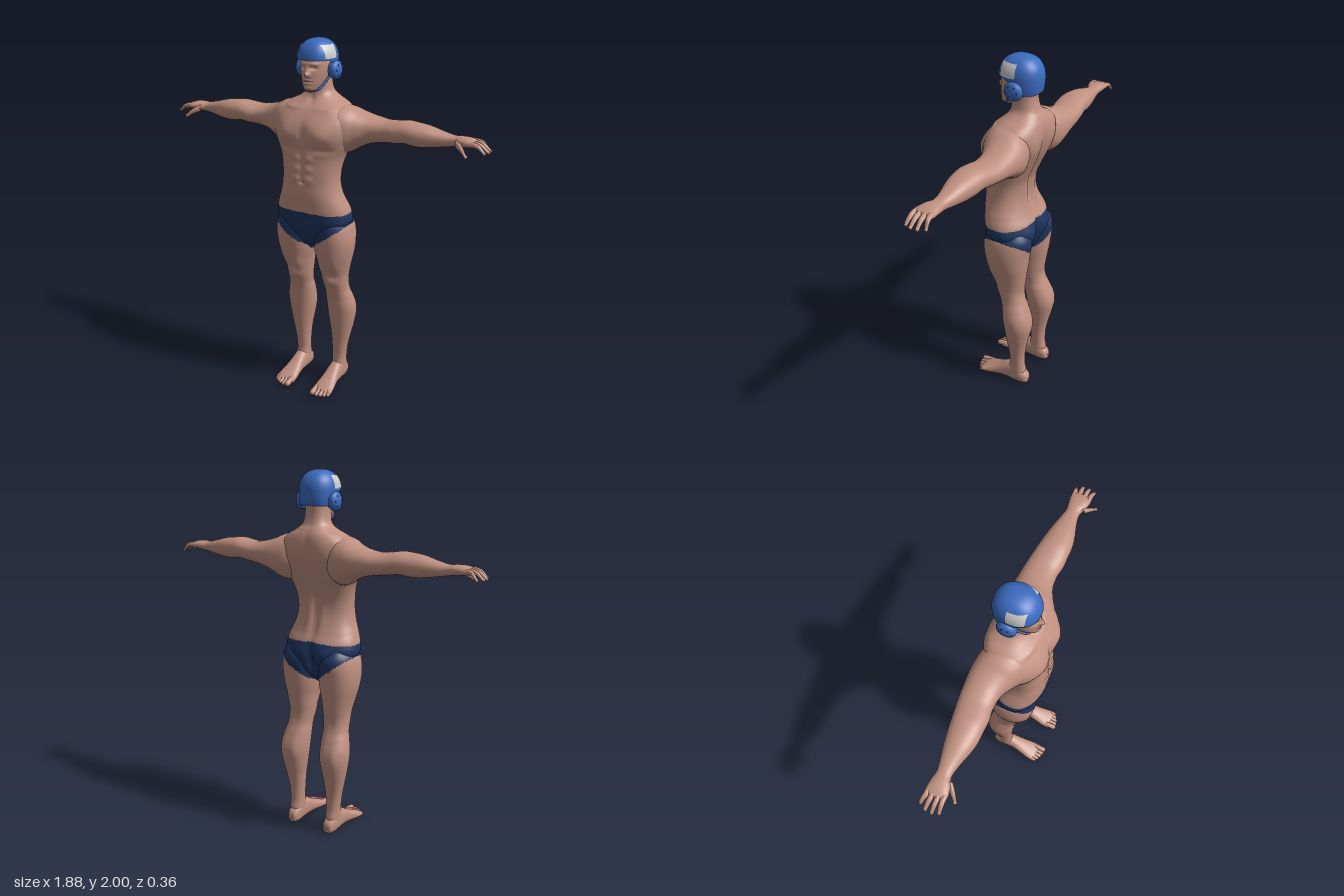
import * as THREE from 'three';

const mat = (name, color, side = THREE.FrontSide) => {
  const m = new THREE.MeshStandardMaterial({ color, side });
  m.name = name;
  return m;
};

// Catmull-Rom blend between the rows of a cross-section table
function sample(rows, t) {
  const f = t * (rows.length - 1), i = Math.min(Math.floor(f), rows.length - 2), u = f - i;
  const at = k => rows[Math.max(0, Math.min(rows.length - 1, k))];
  const [a, b, c, d] = [at(i - 1), at(i), at(i + 1), at(i + 2)];
  return b.map((_, k) => b[k] + 0.5 * u * (c[k] - a[k] + u * (2 * a[k] - 5 * b[k] + 4 * c[k] - d[k]
    + u * (3 * (b[k] - c[k]) + d[k] - a[k]))));
}

// Surface through rows [position, aMin, aMax, bMin, bMax]; axis 0, 1, 2 = x, y, z and a, b are the next two axes.
// bumps: [front +1 / back -1, |x|, y, spread x, spread y, height along z], for axis 1 only
function loft(axis, rows, { segs = 32, rings = 60, pow = 0.9, bumps = [], paint = null } = {}) {
  const pos = [], lists = [[], []];
  const sp = v => Math.sign(v) * Math.abs(v) ** pow;
  for (let i = 0; i <= rings; i++) {
    const [s, a0, a1, b0, b1] = sample(rows, i / rings);
    for (let j = 0; j < segs; j++) {
      const t = j / segs * Math.PI * 2, c = sp(Math.cos(t)), d = sp(Math.sin(t));
      const p = [0, 0, 0];
      p[axis] = s;
      p[(axis + 1) % 3] = (a0 + a1) / 2 + c * (a1 - a0) / 2;
      p[(axis + 2) % 3] = (b0 + b1) / 2 + d * (b1 - b0) / 2;
      let dz = 0;
      for (const [side, x, y, sx, sy, h] of bumps) {
        const w = Math.min(1, Math.max(0, side * c * 1.5));
        dz += side * h * w * Math.exp(-(((Math.abs(p[0]) - x) / sx) ** 2) - ((p[1] - y) / sy) ** 2);
      }
      p[2] += dz;
      pos.push(...p);
    }
  }
  const add = (...tri) => {
    const mid = k => (pos[tri[0] * 3 + k] + pos[tri[1] * 3 + k] + pos[tri[2] * 3 + k]) / 3;
    lists[paint && paint(mid(0), mid(1)) ? 1 : 0].push(...tri);
  };
  for (let i = 0; i < rings; i++) for (let j = 0; j < segs; j++) {
    const k = (j + 1) % segs, p = i * segs, q = p + segs;
    add(p + j, p + k, q + j);
    add(p + k, q + k, q + j);
  }
  const g = new THREE.BufferGeometry();
  g.setAttribute('position', new THREE.Float32BufferAttribute(pos, 3));
  g.setIndex([...lists[0], ...lists[1]]);
  if (paint) {
    g.addGroup(0, lists[0].length, 0);
    g.addGroup(lists[0].length, lists[1].length, 1);
  }
  g.computeVertexNormals();
  return g;
}

// Rounded finger or toe through points [x, y, z, radius]
const digit = (axis, pts) => {
  const end = pts[pts.length - 1].slice(), a = (axis + 1) % 3, b = (axis + 2) % 3;
  const round = [[0.6, 0.8], [0.9, 0.45], [1, 0.01]].map(([o, r]) => {
    const p = end.slice();
    p[axis] += o * end[3];
    p[3] *= r;
    return p;
  });
  return loft(axis, [...pts, ...round].map(p => [p[axis], p[a] - p[3], p[a] + p[3], p[b] - p[3], p[b] + p[3]]),
    { segs: 14, rings: 24, pow: 1 });
};

// Mirrored copy across x with corner order reversed
function mirror(g) {
  const m = g.clone().scale(-1, 1, 1), ix = m.index.array;
  for (let i = 0; i < ix.length; i += 3) [ix[i + 1], ix[i + 2]] = [ix[i + 2], ix[i + 1]];
  m.computeVertexNormals();
  return m;
}

export function createModel() {
  const root = new THREE.Group();
  root.name = 'figure';
  const skin = mat('skin', 0xbf9080), navy = mat('navy cloth', 0x1f3560);
  const blue = mat('helmet blue', 0x3a6bc0, THREE.DoubleSide);
  const pale = mat('pale patch', 0xcccccc, THREE.DoubleSide);
  const put = (name, g, m) => {
    const o = new THREE.Mesh(g, m);
    o.name = name;
    root.add(o);
  };
  const pair = (name, g, m) => { put('left' + name, g, m); put('right' + name, mirror(g), m); };
  const sym = rows => rows.map(([y, back, front, w]) => [y, back, front, -w, w]);
  const trunks = (x, y) => y < 1.105 - 0.06 * Math.abs(x) && y > 0.865 + 0.75 * Math.abs(x);

  // Torso and neck
  put('torso', loft(1, sym([
    [0.86, -0.05, 0.03, 0.02], [0.92, -0.115, 0.08, 0.09], [0.98, -0.135, 0.11, 0.17], [1.04, -0.143, 0.125, 0.215],
    [1.1, -0.135, 0.132, 0.211], [1.15, -0.113, 0.137, 0.193], [1.2, -0.095, 0.14, 0.174], [1.26, -0.085, 0.137, 0.163],
    [1.33, -0.092, 0.134, 0.165], [1.4, -0.118, 0.13, 0.18], [1.46, -0.143, 0.132, 0.208], [1.52, -0.162, 0.135, 0.228],
    [1.58, -0.172, 0.124, 0.23], [1.63, -0.173, 0.092, 0.215], [1.67, -0.166, 0.055, 0.165], [1.7, -0.152, 0.025, 0.108],
    [1.73, -0.134, 0.01, 0.074], [1.78, -0.122, 0.01, 0.064], [1.85, -0.12, 0.01, 0.062],
  ]), {
    segs: 96, rings: 170, pow: 0.85, paint: trunks, bumps: [
      [1, 0.1, 1.53, 0.065, 0.05, 0.018], [1, 0, 1.53, 0.014, 0.07, -0.01], [1, 0.1, 1.45, 0.07, 0.016, -0.007],
      ...[1.4, 1.345, 1.29].map(y => [1, 0.036, y, 0.024, 0.02, 0.008]), [1, 0, 1.32, 0.009, 0.12, -0.006],
      [1, 0, 1.27, 0.008, 0.008, -0.012], [1, 0.1, 1.655, 0.07, 0.011, 0.007], [1, 0, 1.69, 0.018, 0.02, -0.012],
      [1, 0.03, 1.0, 0.04, 0.06, 0.012],
      [-1, 0, 1.4, 0.02, 0.22, -0.018], [-1, 0.1, 1.57, 0.055, 0.07, 0.01], [-1, 0.04, 1.24, 0.028, 0.1, 0.009],
      [-1, 0.085, 1.03, 0.06, 0.06, 0.018], [-1, 0, 1.0, 0.016, 0.07, -0.03],
    ],
  }), [skin, navy]);

  // Legs
  pair('Leg', loft(1, [
    [1.08, -0.11, 0.08, 0.06, 0.18], [1.03, -0.142, 0.1, 0.03, 0.213], [0.98, -0.15, 0.108, 0.014, 0.226],
    [0.92, -0.147, 0.106, 0.008, 0.23], [0.85, -0.14, 0.092, 0.014, 0.222], [0.78, -0.13, 0.07, 0.028, 0.205],
    [0.72, -0.122, 0.045, 0.036, 0.192], [0.67, -0.118, 0.034, 0.042, 0.187], [0.61, -0.126, 0.012, 0.05, 0.188],
    [0.56, -0.145, -0.002, 0.048, 0.2], [0.5, -0.166, -0.01, 0.048, 0.213], [0.44, -0.174, -0.018, 0.052, 0.212],
    [0.37, -0.164, -0.026, 0.062, 0.201], [0.3, -0.148, -0.034, 0.073, 0.186], [0.22, -0.135, -0.042, 0.08, 0.17],
    [0.14, -0.134, -0.045, 0.083, 0.162], [0.09, -0.142, -0.03, 0.083, 0.162], [0.04, -0.14, -0.03, 0.085, 0.16],
  ].reverse(), {
    segs: 56, rings: 160, paint: trunks, bumps: [
      [1, 0.115, 0.685, 0.032, 0.032, 0.015], [1, 0.075, 0.75, 0.025, 0.045, 0.012], [1, 0.16, 0.8, 0.03, 0.07, 0.008],
      [-1, 0.095, 0.47, 0.028, 0.07, 0.006], [-1, 0.165, 0.48, 0.028, 0.07, 0.006], [-1, 0.1, 1.0, 0.06, 0.05, 0.012],
      [-1, 0.12, 0.65, 0.03, 0.04, -0.006],
    ],
  }), [skin, navy]);

  // Feet and toes
  pair('Foot', loft(2, [
    [-0.163, 0.118, 0.122, 0.035, 0.04], [-0.157, 0.095, 0.147, 0.01, 0.07], [-0.12, 0.083, 0.16, 0, 0.105],
    [-0.07, 0.082, 0.162, 0, 0.13], [-0.02, 0.08, 0.163, 0.004, 0.115], [0.03, 0.075, 0.17, 0.004, 0.085],
    [0.08, 0.068, 0.18, 0, 0.06], [0.12, 0.066, 0.185, 0, 0.042], [0.14, 0.07, 0.18, 0.004, 0.03], [0.147, 0.11, 0.14, 0.012, 0.02],
  ], { pow: 0.85 }), skin);
  [[0.086, 0.166, 0.017], [0.112, 0.168, 0.012], [0.134, 0.162, 0.012], [0.154, 0.153, 0.011], [0.172, 0.14, 0.011]]
    .forEach(([x, z, r], i) => pair('Toe' + (i + 1),
      digit(2, [[x, 0.026, 0.1, r], [x, 0.026, 0.13, r * 0.95], [x, r + 0.003, z, r]]), skin));

  // Arms and palms
  pair('Arm', loft(0, [
    [0.08, 1.46, 1.67, -0.14, 0.07], [0.15, 1.42, 1.672, -0.168, 0.085], [0.2, 1.425, 1.662, -0.176, 0.07],
    [0.25, 1.455, 1.64, -0.178, 0.04], [0.31, 1.48, 1.622, -0.174, 0.012], [0.38, 1.494, 1.61, -0.168, 0.005],
    [0.44, 1.5, 1.614, -0.16, 0.014], [0.5, 1.507, 1.622, -0.15, 0.014], [0.56, 1.5, 1.618, -0.142, 0.012],
    [0.62, 1.503, 1.61, -0.132, 0], [0.69, 1.514, 1.592, -0.117, -0.02], [0.75, 1.525, 1.58, -0.105, -0.03],
    [0.79, 1.53, 1.582, -0.11, -0.015], [0.83, 1.535, 1.58, -0.114, -0.005], [0.86, 1.54, 1.57, -0.112, -0.008],
    [0.868, 1.55, 1.56, -0.09, -0.03],
  ], { segs: 40, rings: 110 }), skin);

  // Fingers and thumbs
  [[-0.1, -0.112, 0.908], [-0.074, -0.08, 0.928], [-0.045, -0.046, 0.93], [-0.018, -0.014, 0.92]]
    .forEach(([z0, z1, tip], i) => pair('Finger' + (i + 1), digit(0, [
      [0.83, 1.558, z0, 0.014], [0.865, 1.558, z0, 0.0135], [(tip + 0.87) / 2, 1.548, (z0 + z1) / 2, 0.012],
      [tip, 1.525, z1, 0.0095]]), skin));
  pair('Thumb', digit(0, [[0.775, 1.55, -0.03, 0.02], [0.8, 1.54, -0.008, 0.018], [0.825, 1.524, 0.012, 0.014],
    [0.842, 1.508, 0.026, 0.011]]), skin);

  // Head with brow, sockets, nose, lips and chin shaped into it
  put('head', loft(1, sym([
    [1.738, 0.02, 0.05, 0.012], [1.745, -0.01, 0.068, 0.034], [1.765, -0.06, 0.073, 0.05], [1.79, -0.09, 0.074, 0.061],
    [1.82, -0.11, 0.074, 0.069], [1.85, -0.12, 0.072, 0.074], [1.88, -0.12, 0.07, 0.075], [1.91, -0.11, 0.062, 0.07],
    [1.94, -0.08, 0.03, 0.05],
  ]), {
    segs: 80, rings: 90, pow: 0.9, bumps: [
      [1, 0, 1.826, 0.014, 0.013, 0.02], [1, 0, 1.85, 0.01, 0.022, 0.012], [1, 0.03, 1.858, 0.016, 0.01, -0.012],
      [1, 0.03, 1.879, 0.025, 0.009, 0.006], [1, 0, 1.797, 0.022, 0.006, 0.006], [1, 0, 1.789, 0.025, 0.003, -0.006],
      [1, 0, 1.781, 0.02, 0.006, 0.005], [1, 0, 1.757, 0.02, 0.012, 0.006],
    ],
  }), skin);

  // Helmet shell: rounded dome, cut high over the face and low at the nape
  const P = 2.3, C = [0, 1.89, -0.0375], R = [0.1, 0.11, 0.1145];
  const shell = new THREE.SphereGeometry(1, 64, 40), sv = shell.attributes.position;
  const seam = shell.attributes.uv;
  for (let i = 0; i < sv.count; i++) {
    const phi = seam.getX(i) * Math.PI * 2, back = -Math.sin(phi);
    const end = Math.PI / 180 * (88 + 28 * THREE.MathUtils.smoothstep(back, -0.5, 0.55));
    const th = (1 - seam.getY(i)) * end;
    const d = [-Math.cos(phi) * Math.sin(th), Math.cos(th), Math.sin(phi) * Math.sin(th)];
    const k = d.reduce((s, v) => s + Math.abs(v) ** P, 0) ** (-1 / P);
    sv.setXYZ(i, C[0] + d[0] * k * R[0], C[1] + d[1] * k * (d[1] > 0 ? R[1] : 0.16), C[2] + d[2] * k * R[2]);
  }
  shell.computeVertexNormals();
  put('helmetShell', shell, blue);

  // Pale patches lying on the sides of the shell
  const patch = new THREE.PlaneGeometry(0.088, 0.066, 12, 12), pv = patch.attributes.position;
  for (let i = 0; i < pv.count; i++) {
    const z = -0.01 - pv.getX(i), y = 1.938 + pv.getY(i);
    const rest = 1 - Math.abs((y - C[1]) / R[1]) ** P - Math.abs((z - C[2]) / R[2]) ** P;
    pv.setXYZ(i, 0.003 + R[0] * Math.max(0, rest) ** (1 / P), y, z);
  }
  patch.computeVertexNormals();
  pair('HelmetPatch', patch, pale);

  // Ear pods with small dark vents
  const pod = new THREE.LatheGeometry([[0, 0.128], [0.02, 0.128], [0.024, 0.123], [0.034, 0.122], [0.044, 0.115],
    [0.049, 0.104], [0.048, 0.088], [0.04, 0.074], [0, 0.07]].map(p => new THREE.Vector2(...p)).reverse(), 36);
  pod.rotateZ(-Math.PI / 2).translate(0, 1.843, -0.047);
  pair('EarPod', pod, blue);
  for (let i = 0; i < 6; i++) {
    const a = i * Math.PI / 3, vent = new THREE.CylinderGeometry(0.004, 0.004, 0.006, 10).rotateZ(-Math.PI / 2);
    pair('EarVent' + (i + 1), vent.translate(0.121, 1.843 + 0.03 * Math.sin(a), -0.047 + 0.03 * Math.cos(a)), navy);
  }

  // Chin strap
  const strap = [[0.08, 1.82, -0.03], [0.066, 1.785, 0.0], [0.045, 1.752, 0.03], [0, 1.738, 0.048]];
  const path = [...strap, ...strap.slice(0, 3).reverse().map(([x, y, z]) => [-x, y, z])];
  put('chinStrap', new THREE.TubeGeometry(
    new THREE.CatmullRomCurve3(path.map(p => new THREE.Vector3(...p))), 48, 0.006, 8), blue);

  return root;
}
